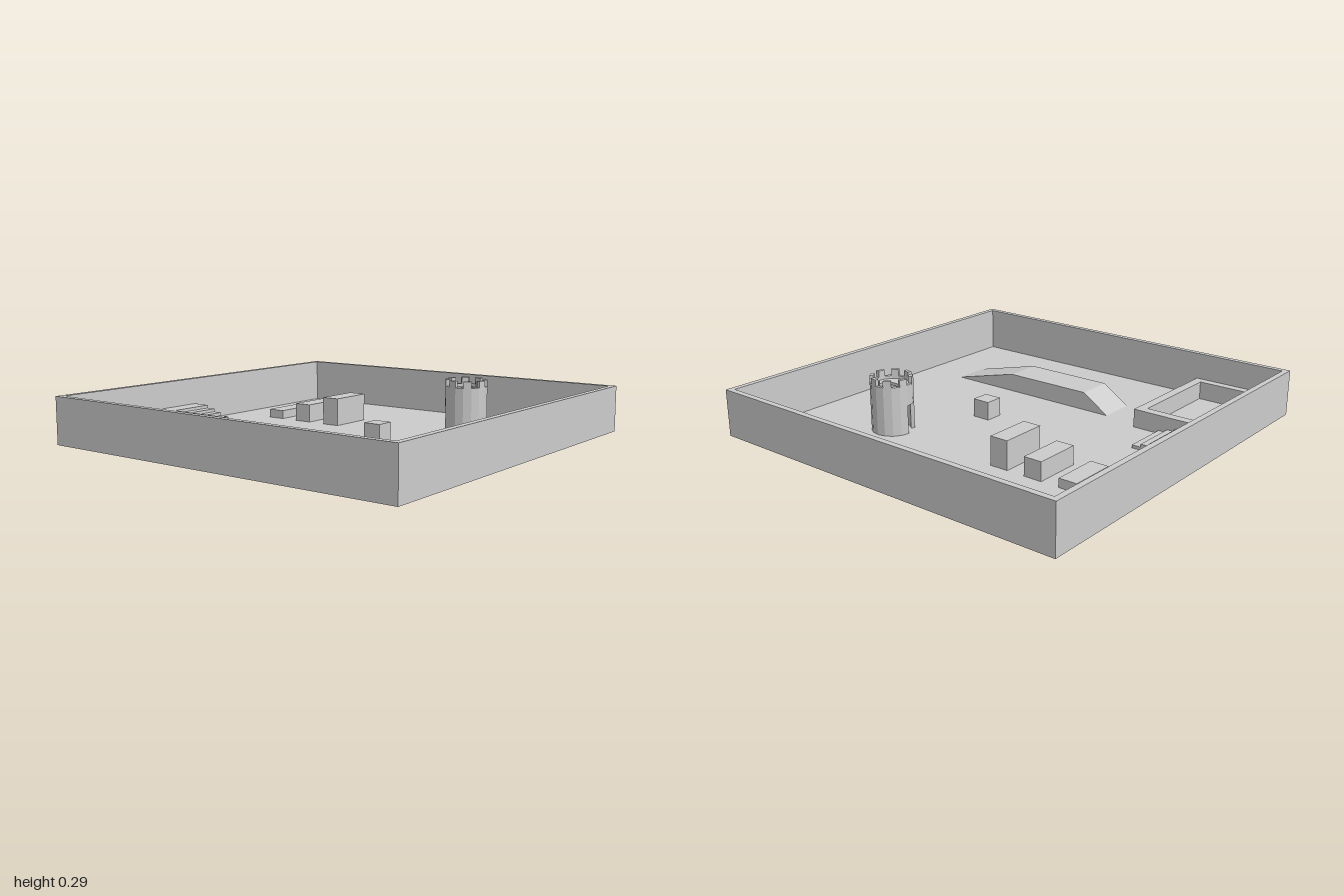
import * as THREE from 'three';

const FLOOR = 0.005;
const material = new THREE.MeshStandardMaterial({ color: 0xcccccc, flatShading: true });

const path = (pts) => pts.map(([x, z]) => new THREE.Vector2(x, -z));

// Prism from a plan outline of [x, z] points (counter-clockwise from above)
function planPrism(outline, y0, y1, hole) {
  const shape = new THREE.Shape(path(outline));
  if (hole) shape.holes.push(new THREE.Path(path(hole)));
  return new THREE.ExtrudeGeometry(shape, { depth: y1 - y0, bevelEnabled: false })
    .rotateX(-Math.PI / 2).translate(0, y0, 0);
}

// Prism from a side profile of [z, y] points, between two x positions
function sidePrism(profile, x0, x1) {
  const shape = new THREE.Shape(profile.map(([z, y]) => new THREE.Vector2(z, y)));
  return new THREE.ExtrudeGeometry(shape, { depth: x1 - x0, bevelEnabled: false })
    .rotateY(-Math.PI / 2).translate(x1, 0, 0);
}

const rect = (x0, x1, z0, z1) => [[x0, z0], [x0, z1], [x1, z1], [x1, z0]];

function createTower(add) {
  const tower = new THREE.Group();
  tower.name = 'tower';
  tower.position.set(0.435, 0, 0.435);
  const sides = 16, outer = 0.107, inner = 0.088;
  const arc = (r, from, to) => {
    const pts = [];
    for (let i = from; i <= to; i++) {
      const a = (i / sides) * Math.PI * 2;
      pts.push([r * Math.sin(a), r * Math.cos(a)]);
    }
    return pts;
  };
  const band = (from, to) => [...arc(outer, from, to), ...arc(inner, from, to).reverse()];
  const innerRing = arc(inner, 0, sides - 1);

  // Lower wall leaves two sides open for the doorway
  add('towerLowerWall', planPrism(band(10, 24), FLOOR, 0.15), tower);
  add('towerUpperWall', planPrism(arc(outer, 0, sides - 1), 0.15, 0.255, innerRing), tower);
  // Battlements on every other side
  for (let i = 1; i < sides; i += 2) {
    add('battlement', planPrism(band(i, i + 1), 0.255, 0.288), tower);
  }

  // Lookout deck with a square hatch
  add('lookoutDeck', planPrism(innerRing, 0.225, 0.24, rect(-0.02, 0.07, -0.045, 0.05)), tower);

  // Ladder rising through the hatch
  for (const z of [-0.025, 0.019]) {
    add('ladderRail', planPrism(rect(0.06, 0.066, z, z + 0.006), FLOOR, 0.27), tower);
  }
  for (let i = 1; i <= 8; i++) {
    const y = 0.03 * i;
    add('ladderRung', planPrism(rect(0.061, 0.065, -0.019, 0.019), y, y + 0.005), tower);
  }
  return tower;
}

export function createModel() {
  const model = new THREE.Group();
  model.name = 'walledCourtyard';
  const add = (name, geometry, parent = model) => {
    const mesh = new THREE.Mesh(geometry, material);
    mesh.name = name;
    parent.add(mesh);
    return mesh;
  };

  // Tray: floor and surrounding wall
  add('floor', planPrism(rect(-0.97, 0.97, -0.97, 0.97), 0, FLOOR));
  add('outerWall', planPrism(rect(-1, 1, -1, 1), 0, 0.24, rect(-0.97, 0.97, -0.97, 0.97)));

  // L-shaped corner platform around a sunken pool
  add('poolPlatform', planPrism(
    [[-0.97, -0.97], [-0.97, -0.485], [-0.34, -0.485], [-0.34, -0.875], [-0.1, -0.875], [-0.1, -0.97]],
    FLOOR, 0.1, rect(-0.923, -0.39, -0.922, -0.533)));

  // Five steps coming down towards the front
  const stairs = [[-0.875, FLOOR]];
  for (let i = 0; i < 5; i++) {
    const y = 0.1 - (i + 1) * (0.1 - FLOOR) / 6;
    stairs.push([-0.875 + i * 0.049, y], [-0.826 + i * 0.049, y]);
  }
  stairs.push([-0.63, FLOOR]);
  add('stairs', sidePrism(stairs, -0.34, -0.1));

  // Flat-topped ramp, steep at the back and gentle at the front
  add('ramp', sidePrism([[-0.29, FLOOR], [-0.145, 0.1], [0.34, 0.1], [0.72, FLOOR]], -0.58, -0.387));

  // Row of blocks growing towards the front
  for (let i = 0; i < 3; i++) {
    const z = -0.726 + i * 0.193;
    add('block' + (i + 1), planPrism(rect(0.24, 0.483, z, z + 0.097), FLOOR, 0.05 * (i + 1)));
  }

  // Small crate in the open
  add('crate', planPrism(rect(-0.048, 0.047, 0.144, 0.239), FLOOR, 0.1));

  model.add(createTower(add));
  return model;
}
